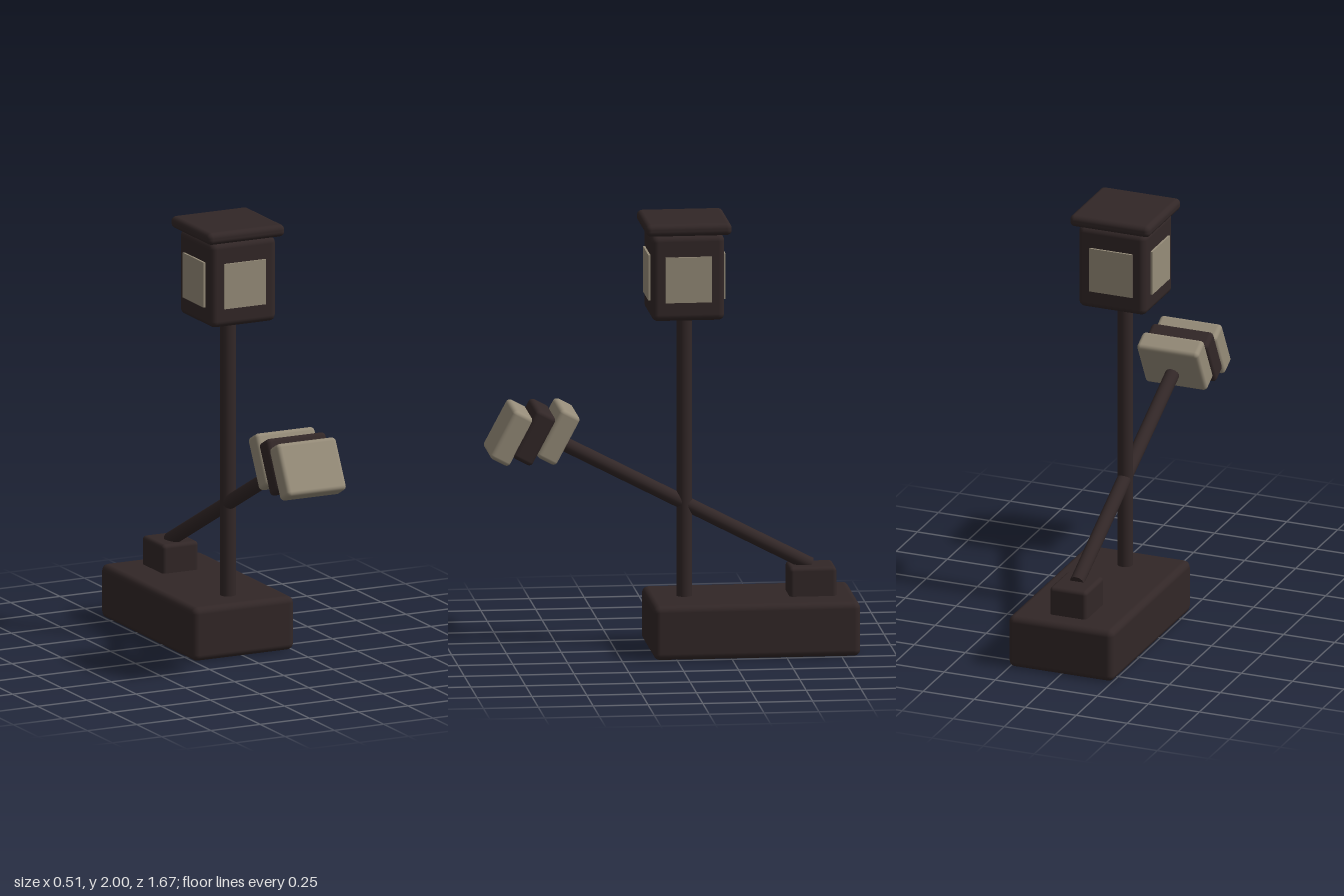
import * as THREE from 'three';
import { RoundedBoxGeometry } from 'three/addons/geometries/RoundedBoxGeometry.js';

export function createModel() {
  const model = new THREE.Group();
  model.name = 'lanternWithLever';

  const darkWood = new THREE.MeshStandardMaterial({ color: 0x322727 });
  darkWood.name = 'darkWood';
  const paleStone = new THREE.MeshStandardMaterial({ color: 0x968c79 });
  paleStone.name = 'paleStone';

  const add = (name, geometry, material, x, y, z, parent = model) => {
    const mesh = new THREE.Mesh(geometry, material);
    mesh.name = name;
    mesh.position.set(x, y, z);
    parent.add(mesh);
    return mesh;
  };
  const block = (w, h, d, r) => new RoundedBoxGeometry(w, h, d, 3, r);

  // Base and the pivot block at its rear
  add('base', block(0.514, 0.25, 0.942, 0.03), darkWood, 0, 0.125, -0.365);
  add('pivotBlock', block(0.182, 0.16, 0.214, 0.018), darkWood, 0, 0.303, -0.638);

  // Upright post
  const postZ = -0.061;
  add('post', new THREE.CylinderGeometry(0.036, 0.036, 1.36, 24), darkWood, 0, 0.9, postZ);

  // Lantern head with a pane on each side and a flat roof
  const lantern = new THREE.Group();
  lantern.name = 'lantern';
  lantern.position.set(0, 1.745, postZ);
  model.add(lantern);
  add('lanternBody', block(0.332, 0.396, 0.332, 0.03), darkWood, 0, 0, 0, lantern);
  add('roof', block(0.392, 0.056, 0.392, 0.024), darkWood, 0, 0.227, 0, lantern);
  for (let i = 0; i < 4; i++) {
    const side = new THREE.Group();
    side.name = 'paneSide';
    side.rotation.y = i * Math.PI / 2;
    lantern.add(side);
    add('pane', new THREE.BoxGeometry(0.21, 0.21, 0.0098), paleStone, 0, -0.005, 0.171, side);
  }

  // Slanted arm running from the pivot block to the head
  const start = new THREE.Vector3(0, 0.38, -0.635);
  const end = new THREE.Vector3(0, 0.985, 0.53);
  const middle = start.clone().lerp(end, 0.5);
  const arm = add('arm', new THREE.CylinderGeometry(0.033, 0.033, start.distanceTo(end), 24),
    darkWood, middle.x, middle.y, middle.z);
  arm.quaternion.setFromUnitVectors(new THREE.Vector3(0, 1, 0), end.clone().sub(start).normalize());

  // Three leaning plates stacked at the end of the arm
  [['backPlate', paleStone, 0.528], ['middlePlate', darkWood, 0.639], ['frontPlate', paleStone, 0.742]]
    .forEach(([name, material, z]) => {
      const plate = add(name, block(0.302, 0.25, 0.1, 0.02), material, 0, 1.02, z);
      plate.rotation.x = THREE.MathUtils.degToRad(-28);
    });

  return model;
}
